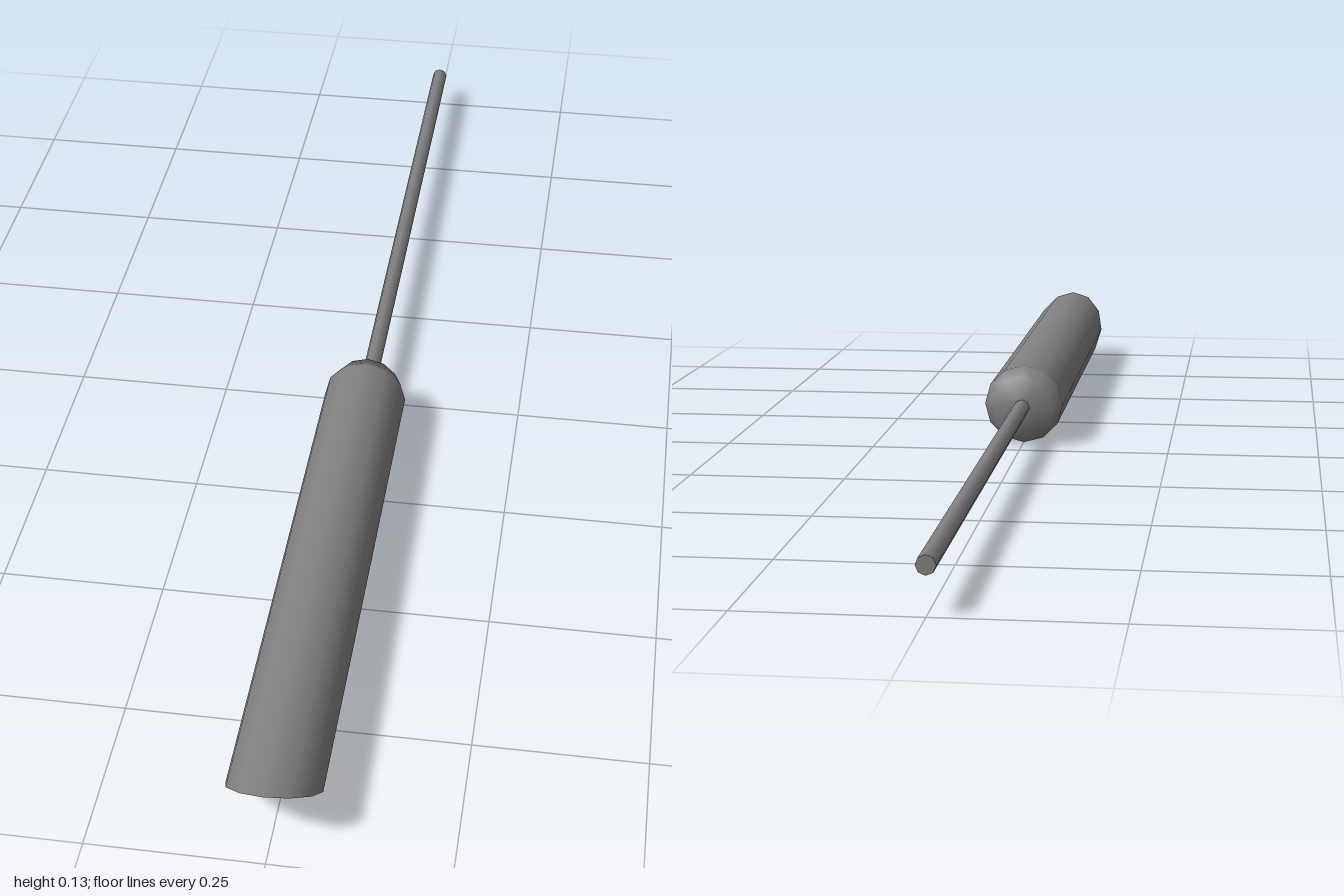
import * as THREE from 'three';

const SIDES = 12;
const R = 0.0665; // outer radius, also the height of the axis
const BORE_X = 0.052, BORE_Y = 0.0575;

export function createModel() {
  const group = new THREE.Group();
  const metal = new THREE.MeshStandardMaterial({ color: 0x808080 });
  metal.name = 'grey metal';

  const add = (name, geometry) => {
    const mesh = new THREE.Mesh(geometry, metal);
    mesh.name = name;
    group.add(mesh);
  };

  // Revolve [radius, z] points about the z axis; points at z = 1 land on the slanted cut
  const revolve = (points, sides = SIDES) => {
    const geo = new THREE.LatheGeometry(points.map(([r, z]) => new THREE.Vector2(r, z)), sides);
    geo.rotateX(Math.PI / 2);
    geo.translate(0, R, 0);
    return geo;
  };
  const slant = (geo, isBore) => {
    const p = geo.attributes.position;
    for (let i = 0; i < p.count; i++) {
      let x = p.getX(i), y = p.getY(i) - R;
      if (isBore(Math.hypot(x, y))) {
        x *= BORE_X / BORE_Y; // bore is slightly narrower than tall
      }
      y += R;
      const z = p.getZ(i) > 0.99 ? 0.845 + 0.155 * y / (2 * R) : p.getZ(i);
      p.setXYZ(i, x, y, z);
    }
    return geo;
  };
  const inBore = (r) => r < 0.06;

  // Outer casing with its slanted mouth
  add('casing', slant(revolve([[R, 0.068], [R, 1]]), inBore));

  // Flat rim around the mouth
  const rim = slant(revolve([[R, 1], [BORE_Y, 1]]), inBore);
  rim.computeVertexNormals();
  add('mouthRim', rim);

  // Hollow inside and its floor
  add('boreWall', slant(revolve([[BORE_Y, 1], [BORE_Y, 0.08]]), inBore));
  add('boreFloor', slant(revolve([[BORE_Y, 0.08], [0, 0.08]]), inBore));

  // Bevelled closed end
  add('endCap', revolve([[0, 0.035], [0.052, 0.035], [R, 0.068]]));

  // Thin inlet pipe
  const pipe = new THREE.CylinderGeometry(0.0135, 0.0135, 1.04, 8);
  pipe.rotateX(Math.PI / 2);
  pipe.translate(0, R, -0.48);
  add('inletPipe', pipe);

  return group;
}
